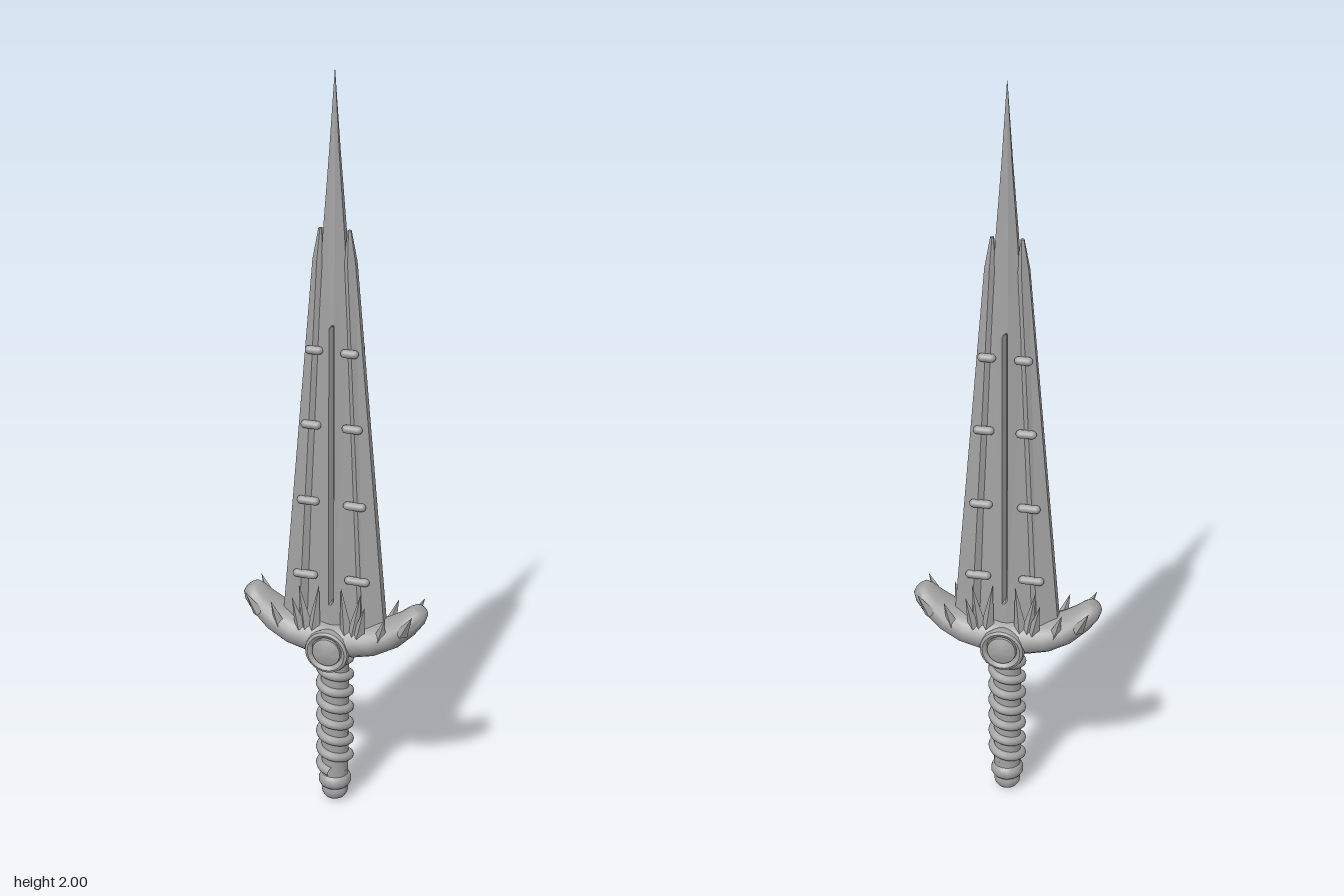
import * as THREE from 'three';
import { toCreasedNormals } from 'three/addons/utils/BufferGeometryUtils.js';

const steel = new THREE.MeshStandardMaterial({ color: 0xa3a3a3 });
steel.name = 'grey steel';

// Closed skin over equal-length rings, each right-handed about the travel direction
function loft(rings, crease) {
  const n = rings[0].length;
  const pos = [];
  const idx = [];
  rings.forEach((r) => r.forEach((p) => pos.push(...p)));
  for (let i = 0; i < rings.length - 1; i++) {
    for (let j = 0; j < n; j++) {
      const a = i * n + j, b = i * n + (j + 1) % n;
      idx.push(a, b, b + n, a, b + n, a + n);
    }
  }
  [0, rings.length - 1].forEach((i) => {
    const c = pos.length / 3;
    const mid = [0, 1, 2].map((k) => rings[i].reduce((s, p) => s + p[k], 0) / n);
    pos.push(...mid);
    for (let j = 0; j < n; j++) {
      const a = i * n + j, b = i * n + (j + 1) % n;
      if (i) idx.push(a, b, c); else idx.push(b, a, c);
    }
  });
  const g = new THREE.BufferGeometry();
  g.setAttribute('position', new THREE.Float32BufferAttribute(pos, 3));
  g.setIndex(idx);
  return toCreasedNormals(g, crease);
}

export function createModel() {
  const model = new THREE.Group();
  model.name = 'dagger';
  const add = (name, geo, parent = model) => {
    const m = new THREE.Mesh(geo, steel);
    m.name = name;
    parent.add(m);
    return m;
  };

  // Central blade with a fuller: [y, half width, half depth, groove depth]
  const bladeRings = [
    [0.5, 0.09, 0.033, 0], [0.6, 0.086, 0.032, 0], [0.61, 0.085, 0.032, 0.02],
    [1.36, 0.042, 0.026, 0.016], [1.37, 0.041, 0.026, 0],
    [1.6, 0.028, 0.02, 0], [1.8, 0.013, 0.012, 0], [2, 0.0005, 0.0005, 0],
  ].map(([y, w, d, gd]) => {
    const g = Math.min(0.007, w * 0.3);
    const back = [[w, -d / 2], [g, -d], [0, gd - d], [-g, -d], [-w, -d / 2]];
    return [...back, ...back.map(([x, z]) => [-x, -z])].map(([x, z]) => [x, y, z]);
  });
  add('centralBlade', loft(bladeRings, 0.15));

  // Flanking blades: [y, inner x, ridge x, outer x, inner z, ridge z, outer z]
  const sideRings = [
    [0.5, 0.07, 0.09, 0.144, 0.018, 0.036, 0.014],
    [1.53, 0.026, 0.04, 0.056, 0.01, 0.022, 0.008],
    [1.61, 0.034, 0.037, 0.042, 0.004, 0.006, 0.003],
  ].map(([y, xi, xr, xo, zi, zr, zo]) =>
    [[xo, -zo], [xr, -zr], [xi, -zi], [xi, zi], [xr, zr], [xo, zo]].map(([x, z]) => [x, y, z]));
  const sideGeo = loft(sideRings, 0.15);
  add('leftFlankBlade', sideGeo);
  add('rightFlankBlade', sideGeo).rotation.y = Math.PI;

  // Rivets bridging the blades on both faces
  const rivets = new THREE.Group();
  rivets.name = 'rivets';
  model.add(rivets);
  [0.68, 0.89, 1.1, 1.3].forEach((y, i) => {
    const geo = new THREE.CapsuleGeometry(0.011, 0.046 - i * 0.007, 5, 12).rotateZ(Math.PI / 2);
    for (const sx of [-1, 1]) for (const sz of [-1, 1]) {
      add('rivet', geo, rivets).position.set(sx * (0.071 - i * 0.008), y, sz * (0.031 - i * 0.002));
    }
  });

  // Upswept crescent guard: [x, y, radius in plane, radius in z]
  const half = [
    [0, 0.5, 0.05, 0.071], [0.06, 0.502, 0.05, 0.07], [0.11, 0.51, 0.045, 0.067],
    [0.16, 0.533, 0.04, 0.061], [0.2, 0.565, 0.034, 0.052],
    [0.225, 0.592, 0.029, 0.042], [0.236, 0.606, 0.022, 0.03], [0.239, 0.61, 0.012, 0.016],
  ];
  const path = [...half.slice(1).reverse().map(([x, ...r]) => [-x, ...r]), ...half];
  const guardRings = path.map(([x, y, rn, rz], i) => {
    const p = path[Math.max(i - 1, 0)], q = path[Math.min(i + 1, path.length - 1)];
    const len = Math.hypot(q[0] - p[0], q[1] - p[1]);
    const nx = -(q[1] - p[1]) / len, ny = (q[0] - p[0]) / len;
    return Array.from({ length: 20 }, (_, j) => {
      const a = j / 20 * Math.PI * 2, c = Math.cos(a) * rn;
      return [x + nx * c, y + ny * c, Math.sin(a) * rz];
    });
  });
  add('guard', loft(guardRings, 0.9));

  // Four-sided thorns on the guard: base, then tip
  const thorns = new THREE.Group();
  thorns.name = 'thorns';
  model.add(thorns);
  const up = new THREE.Vector3(0, 1, 0);
  [
    [0.198, 0.555, 0.046, 0.23, 0.615, 0.06, 0.017],
    [0.138, 0.53, 0.046, 0.158, 0.6, 0.06, 0.017],
    [0.08, 0.53, 0.045, 0.1, 0.62, 0.056, 0.017],
    [0.045, 0.53, 0.04, 0.03, 0.66, 0.04, 0.018],
    [0.065, 0.53, 0.04, 0.085, 0.65, 0.042, 0.018],
  ].forEach(([bx, by, bz, tx, ty, tz, r]) => {
    for (const sx of [-1, 1]) for (const sz of [-1, 1]) {
      const base = new THREE.Vector3(bx * sx, by, bz * sz);
      const dir = new THREE.Vector3(tx * sx, ty, tz * sz).sub(base);
      const geo = toCreasedNormals(new THREE.ConeGeometry(r, dir.length(), 4), 0.1);
      const m = add('thorn', geo, thorns);
      m.position.copy(base).addScaledVector(dir, 0.5);
      m.quaternion.setFromUnitVectors(up, dir.normalize());
    }
  });

  // Round bosses with a raised rim on each face
  const bossGeo = toCreasedNormals(new THREE.LatheGeometry([
    [0.05, 0], [0.058, 0.052], [0.061, 0.063], [0.058, 0.072], [0.051, 0.076],
    [0.043, 0.072], [0.04, 0.066], [0.038, 0.073], [0.022, 0.079], [0, 0.082],
  ].map(([r, y]) => new THREE.Vector2(r, y)), 32), 0.7).rotateX(Math.PI / 2);
  for (const [name, turn] of [['frontBoss', 0], ['backBoss', Math.PI]]) {
    const boss = add(name, bossGeo);
    boss.position.y = 0.48;
    boss.rotation.y = turn;
  }

  // Grip core with spiral wrap
  add('gripCore', new THREE.CylinderGeometry(0.038, 0.036, 0.4, 24)).position.y = 0.28;
  const turns = 7;
  const spiral = Array.from({ length: turns * 12 + 1 }, (_, i) => {
    const a = i / 12 * Math.PI * 2;
    return new THREE.Vector3(Math.sin(a) * 0.039, 0.445 - 0.345 * i / (turns * 12), Math.cos(a) * 0.039);
  });
  add('gripWrap', new THREE.TubeGeometry(new THREE.CatmullRomCurve3(spiral), turns * 28, 0.0125, 10));

  // Pommel: collar above a small rounded knob
  const pommel = [
    [0, 0], [0.016, 0.002], [0.027, 0.009], [0.034, 0.02], [0.036, 0.031], [0.033, 0.041],
    [0.039, 0.046], [0.044, 0.055], [0.044, 0.065], [0.04, 0.075], [0.033, 0.082], [0.036, 0.095], [0, 0.1],
  ].map(([r, y]) => new THREE.Vector2(r, y));
  add('pommel', toCreasedNormals(new THREE.LatheGeometry(pommel, 28), 0.8));

  return model;
}
